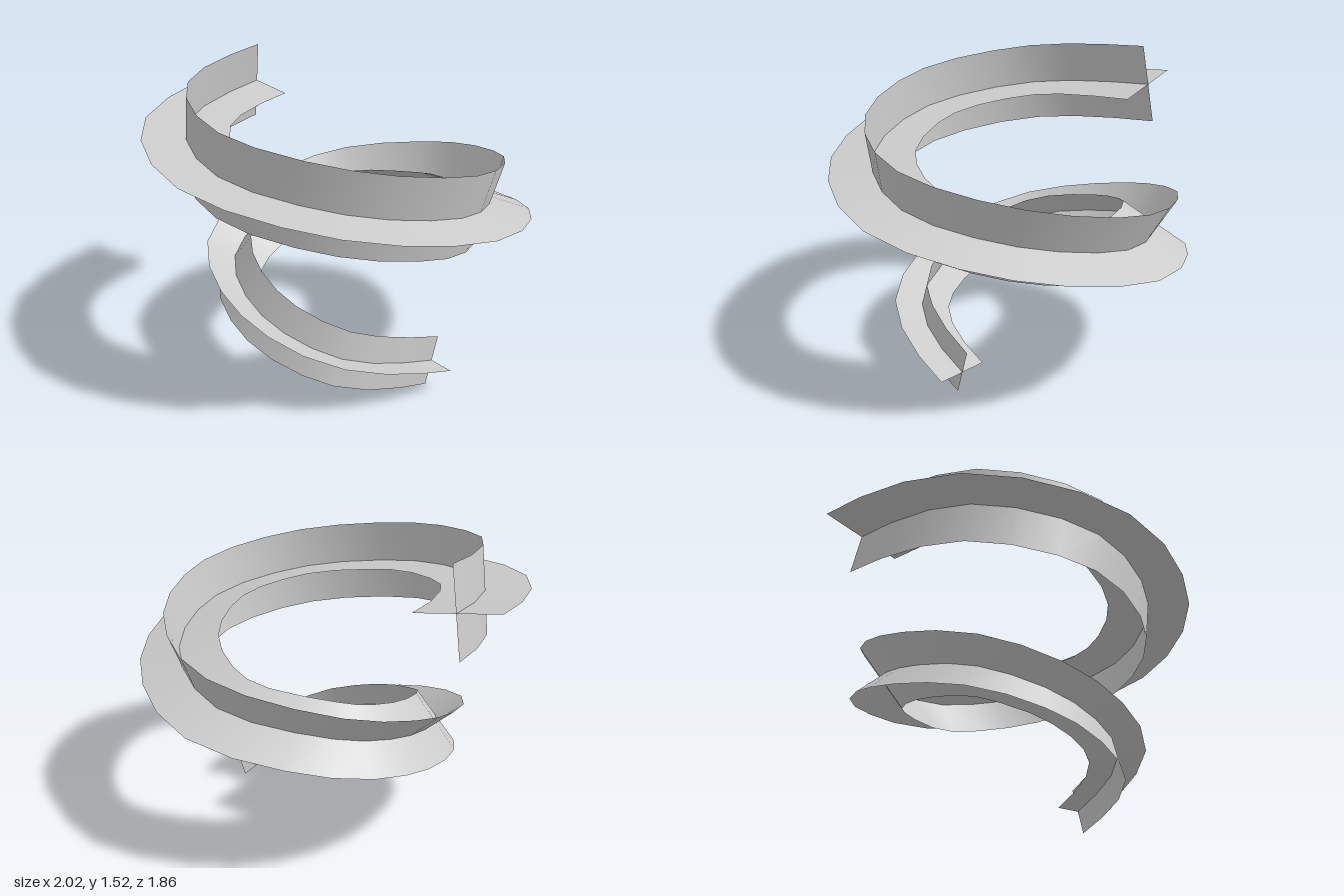
import * as THREE from 'three';

const STEPS = 36; // sections along one and a half turns

// Widening spiral, one point per eighth turn; the first and last only steer the end tangents
const path = new THREE.CatmullRomCurve3([
  [0.46, -0.03, -0.62],
  [0.58, 0.13, -0.15], [0.43, 0.27, 0.33], [0.02, 0.40, 0.49], [-0.405, 0.525, 0.33],
  [-0.56, 0.64, -0.12], [-0.415, 0.735, -0.52], [0.09, 0.82, -0.75], [0.58, 0.925, -0.53],
  [0.81, 1.02, -0.04], [0.585, 1.11, 0.46], [0.02, 1.19, 0.71], [-0.555, 1.26, 0.47],
  [-0.79, 1.315, -0.155],
  [-0.70, 1.37, -0.75],
].map(p => new THREE.Vector3(...p)), false, 'catmullrom', 0.5);

// Twist (degrees) and half width of the cross section at each quarter turn
const TWIST = [0, 25, 45, 66, 79, 90, 100];
const HALF = [0.13, 0.155, 0.18, 0.208, 0.21, 0.212, 0.215];

function sample(table, s) {
  const i = Math.min(Math.floor(s), table.length - 2);
  return THREE.MathUtils.lerp(table[i], table[i + 1], s - i);
}

// One flat band swept along the path, turned by an extra angle about it
function ribbon(name, extra) {
  const pos = [], index = [];
  const up = new THREE.Vector3(0, 1, 0);
  for (let i = 0; i <= STEPS; i++) {
    const f = i / STEPS;
    const t = (1 + 12 * f) / 14;
    const c = path.getPoint(t);
    const tangent = path.getTangent(t);
    const out = new THREE.Vector3().crossVectors(up, tangent).normalize();
    const rise = new THREE.Vector3().crossVectors(tangent, out);
    const a = THREE.MathUtils.degToRad(sample(TWIST, f * 6)) + extra;
    const h = sample(HALF, f * 6);
    // inner edge, centre line, outer edge
    for (const k of [-h, 0, h]) {
      const p = c.clone().addScaledVector(out, k * Math.cos(a)).addScaledVector(rise, k * Math.sin(a));
      pos.push(p.x, p.y, p.z);
    }
    if (i === STEPS) break;
    for (const j of [0, 1]) {
      const q = i * 3 + j;
      index.push(q, q + 3, q + 1, q + 1, q + 3, q + 4);
    }
  }
  const geo = new THREE.BufferGeometry();
  geo.setAttribute('position', new THREE.Float32BufferAttribute(pos, 3));
  geo.setIndex(index);
  geo.computeVertexNormals();
  const mesh = new THREE.Mesh(geo, new THREE.MeshStandardMaterial({ color: 0xcccccc, side: THREE.DoubleSide }));
  mesh.name = name;
  return mesh;
}

export function createModel() {
  const group = new THREE.Group();
  group.name = 'crossedSpiralRibbon';
  group.add(ribbon('flatRibbon', 0), ribbon('uprightRibbon', Math.PI / 2));
  return group;
}
